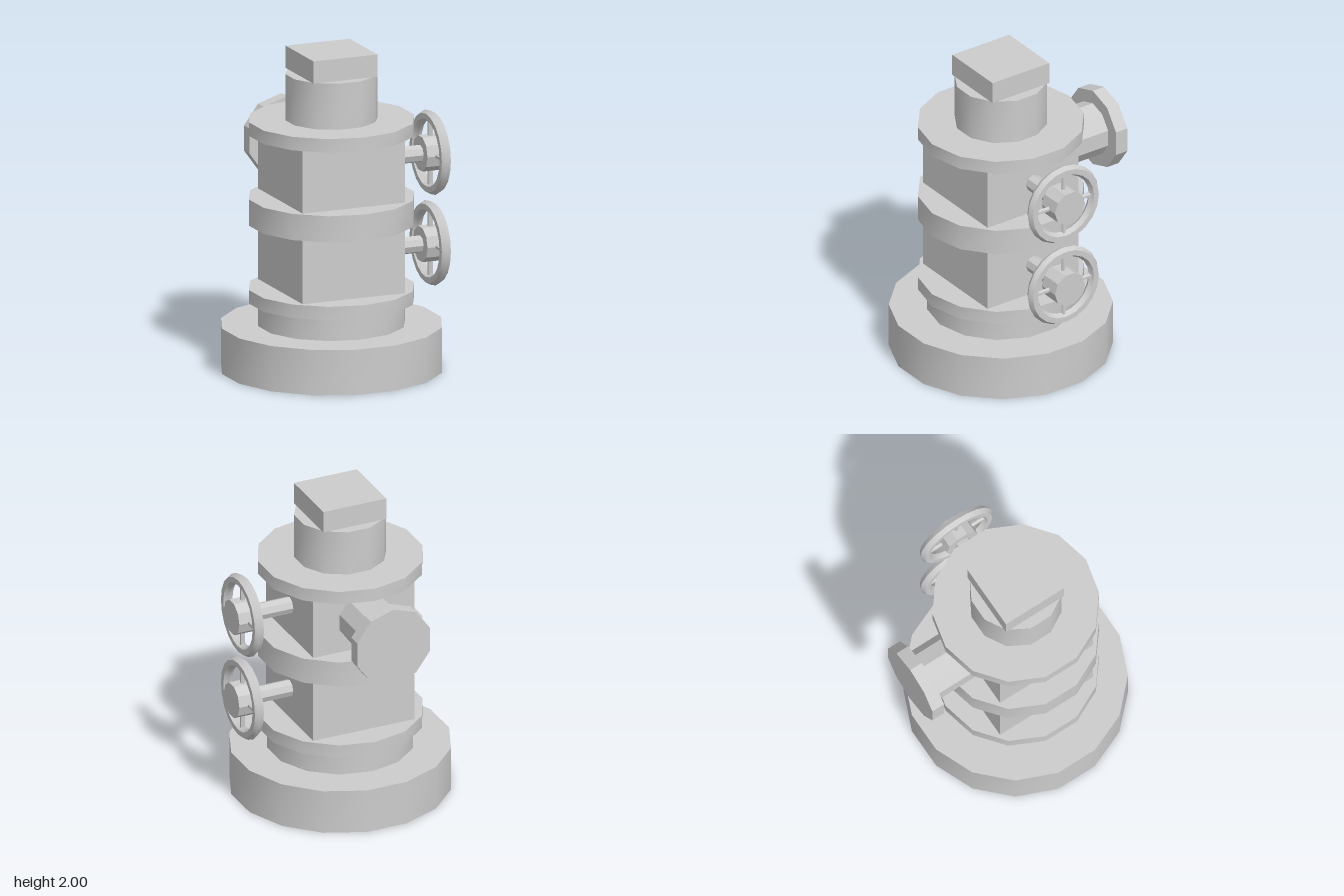
import * as THREE from 'three';
import { toCreasedNormals } from 'three/addons/utils/BufferGeometryUtils.js';

const CX = -0.03, CZ = 0.047; // axis of the column
const CREASE = THREE.MathUtils.degToRad(33);

export function createModel() {
  const model = new THREE.Group();
  model.name = 'valveColumn';
  const castMetal = new THREE.MeshStandardMaterial({ color: 0xcccccc });
  castMetal.name = 'castMetal';

  function add(parent, name, geometry, x, y, z) {
    const mesh = new THREE.Mesh(toCreasedNormals(geometry, CREASE), castMetal);
    mesh.name = name;
    mesh.position.set(x, y, z);
    parent.add(mesh);
    return mesh;
  }

  // Upright drum between two heights, optionally turned by half a side
  function drum(name, radius, sides, y0, y1, halfTurn = false) {
    const g = new THREE.CylinderGeometry(radius, radius, y1 - y0, sides);
    if (halfTurn) g.rotateY(Math.PI / sides);
    add(model, name, g, CX, (y0 + y1) / 2, CZ);
  }

  // Column, from the ground up
  drum('base', 0.684, 16, 0, 0.285, true);
  drum('plinth', 0.456, 14, 0.285, 0.43);
  drum('lowerFlange', 0.513, 14, 0.43, 0.515);
  add(model, 'body', new THREE.BoxGeometry(0.68, 0.97, 0.68), CX, 1.0, CZ);
  drum('middleFlange', 0.513, 14, 0.92, 1.085);
  drum('upperFlange', 0.513, 14, 1.485, 1.57);
  drum('neck', 0.285, 12, 1.57, 1.86, true);
  add(model, 'cap', new THREE.BoxGeometry(0.425, 0.14, 0.425), CX, 1.93, CZ);

  // Outlet pipe at the back
  function backPipe(name, radius, z0, z1) {
    const g = new THREE.CylinderGeometry(radius, radius, z1 - z0, 10);
    g.rotateX(-Math.PI / 2);
    add(model, name, g, CX, 1.29, (z0 + z1) / 2);
  }
  backPipe('outletPipe', 0.17, -0.64, -0.28);
  backPipe('outletFlange', 0.257, -0.725, -0.64);

  // Handwheels on the left side
  for (const [name, y] of [['lowerHandwheel', 0.72], ['upperHandwheel', 1.29]]) {
    const wheel = new THREE.Group();
    wheel.name = name;
    wheel.position.set(0, y, CZ);
    model.add(wheel);

    const rod = (part, radius, sides, x0, x1) => {
      const g = new THREE.CylinderGeometry(radius, radius, x1 - x0, sides);
      g.rotateZ(-Math.PI / 2);
      add(wheel, part, g, (x0 + x1) / 2, 0, 0);
    };
    rod('stem', 0.054, 8, 0.3, 0.56);
    rod('hub', 0.1125, 10, 0.56, 0.7);

    const rim = new THREE.TorusGeometry(0.228, 0.035, 6, 20);
    rim.rotateY(Math.PI / 2);
    add(wheel, 'rim', rim, 0.627, 0, 0);

    for (let i = 0; i < 4; i++) {
      const spoke = new THREE.CylinderGeometry(0.016, 0.016, 0.13, 6);
      spoke.translate(0, 0.15, 0);
      spoke.rotateX(i * Math.PI / 2);
      add(wheel, 'spoke', spoke, 0.627, 0, 0);
    }
  }
  return model;
}
